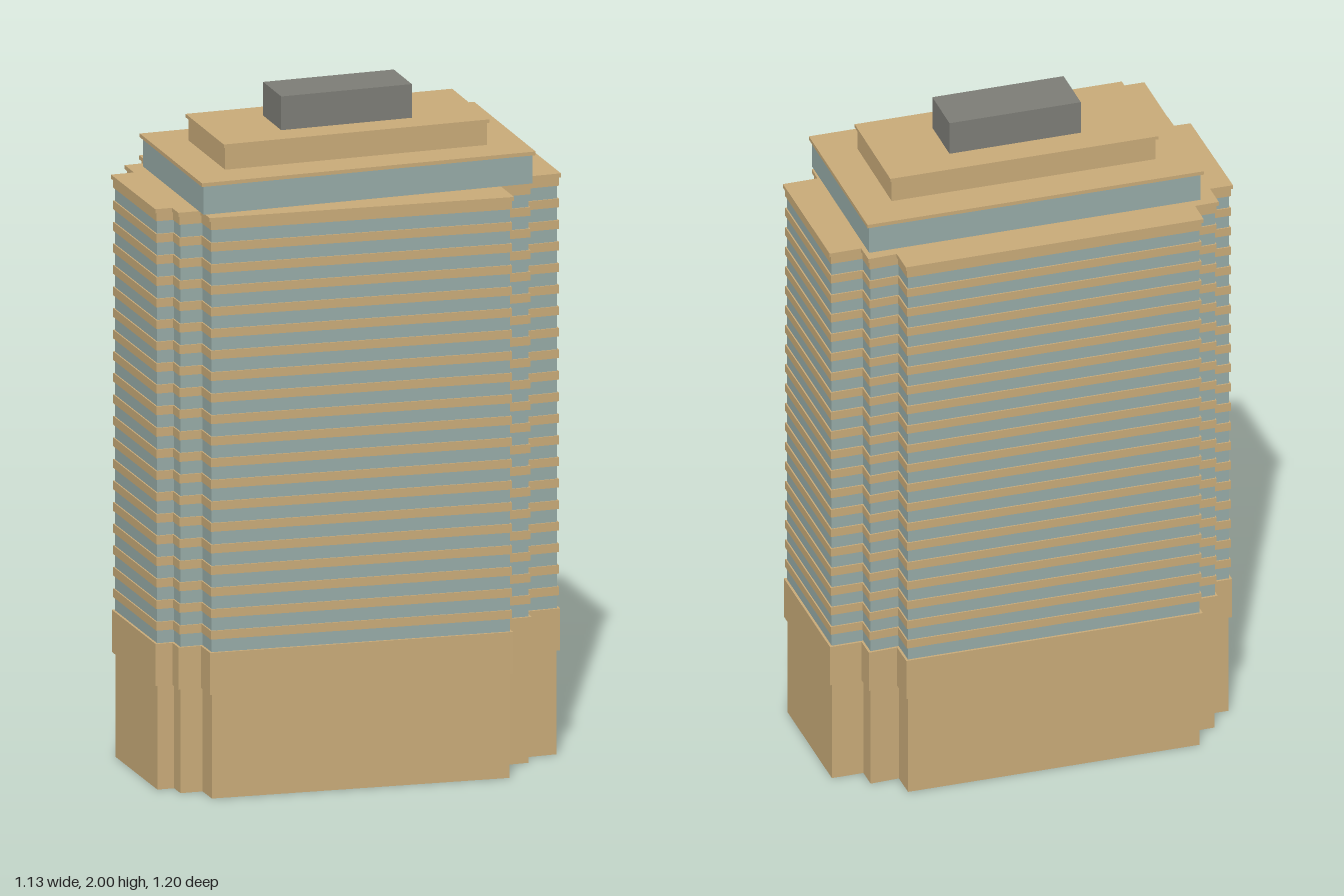
import * as THREE from 'three';

const mat = (color) => new THREE.MeshStandardMaterial({ color, flatShading: true });

// Stepped tower plan as [x, z] corners, drawn at the cornice line
const PLAN = [
  [-0.565, 0.16], [-0.015, -0.545], [0.05, -0.495], [0.1, -0.565],
  [0.152, -0.525], [0.21, -0.6], [0.545, -0.34], [0.482, -0.258],
  [0.525, -0.222], [0.462, -0.143], [0.565, -0.063], [-0.045, 0.592],
  [-0.107, 0.545], [-0.15, 0.595], [-0.193, 0.562], [-0.225, 0.6],
  [-0.525, 0.37], [-0.482, 0.316], [-0.545, 0.267], [-0.502, 0.21],
];
// Plans of the setback storeys, drawn at their roof slabs
const PENTHOUSE = [[-0.505, 0.25], [0.118, -0.543], [0.543, -0.21], [-0.077, 0.583]];
const UPPER = [[-0.36, 0.233], [0.137, -0.398], [0.398, -0.192], [-0.097, 0.438]];
const PLANT = [[-0.165, 0.127], [0.078, -0.183], [0.203, -0.085], [-0.04, 0.225]];

// Moves every side of a plan inwards by d, keeping mitred corners
function inset(plan, d) {
  const n = plan.length;
  const normal = (a, b) => {
    const dx = b[0] - a[0], dz = b[1] - a[1], l = Math.hypot(dx, dz);
    return [-dz / l, dx / l];
  };
  return plan.map((p, i) => {
    const a = normal(plan[(i + n - 1) % n], p);
    const b = normal(p, plan[(i + 1) % n]);
    const k = d / (1 + a[0] * b[0] + a[1] * b[1]);
    return [p[0] + (a[0] + b[0]) * k, p[1] + (a[1] + b[1]) * k];
  });
}

// Upright prism over a plan, standing on y = 0
function prism(plan, height) {
  const shape = new THREE.Shape(plan.map(([x, z]) => new THREE.Vector2(x, -z)));
  const geo = new THREE.ExtrudeGeometry(shape, { depth: height, bevelEnabled: false });
  return geo.rotateX(-Math.PI / 2);
}

export function createModel() {
  const model = new THREE.Group();
  model.name = 'officeTower';
  const stone = mat(0xc8aa78);
  const glass = mat(0x96aaa6);
  const grey = mat(0x7c7c76);

  const add = (name, geo, material, y, parent = model) => {
    const mesh = new THREE.Mesh(geo, material);
    mesh.name = name;
    mesh.position.y = y;
    parent.add(mesh);
  };
  const storey = (name, plan, d, y0, y1, material) =>
    add(name, prism(inset(plan, d), y1 - y0), material, y0);

  // Podium
  storey('base', PLAN, 0.01, 0, 0.31, stone);
  storey('podiumBand', PLAN, 0.002, 0.31, 0.435, stone);

  // Office floors: a window ribbon under a slightly proud spandrel
  const floors = new THREE.Group();
  floors.name = 'floors';
  model.add(floors);
  const count = 20, bottom = 0.435, top = 1.715;
  const pitch = (top - bottom) / count;
  const ribbon = pitch * 0.6;
  const windowGeo = prism(inset(PLAN, 0.009), ribbon);
  const spandrelGeo = prism(inset(PLAN, 0.005), pitch - ribbon);
  for (let i = 0; i < count; i++) {
    const y = bottom + i * pitch;
    add('windowRibbon', windowGeo, glass, y, floors);
    add('spandrel', spandrelGeo, stone, y + ribbon, floors);
  }
  storey('cornice', PLAN, 0, top, 1.727, stone);

  // Setback storeys and rooftop plant room
  storey('penthouseGlazing', PENTHOUSE, 0.007, 1.727, 1.812, glass);
  storey('penthouseRoof', PENTHOUSE, 0, 1.812, 1.823, stone);
  storey('upperStorey', UPPER, 0.006, 1.823, 1.89, stone);
  storey('upperRoof', UPPER, 0, 1.89, 1.9, stone);
  storey('plantRoom', PLANT, 0, 1.9, 2, grey);

  return model;
}
